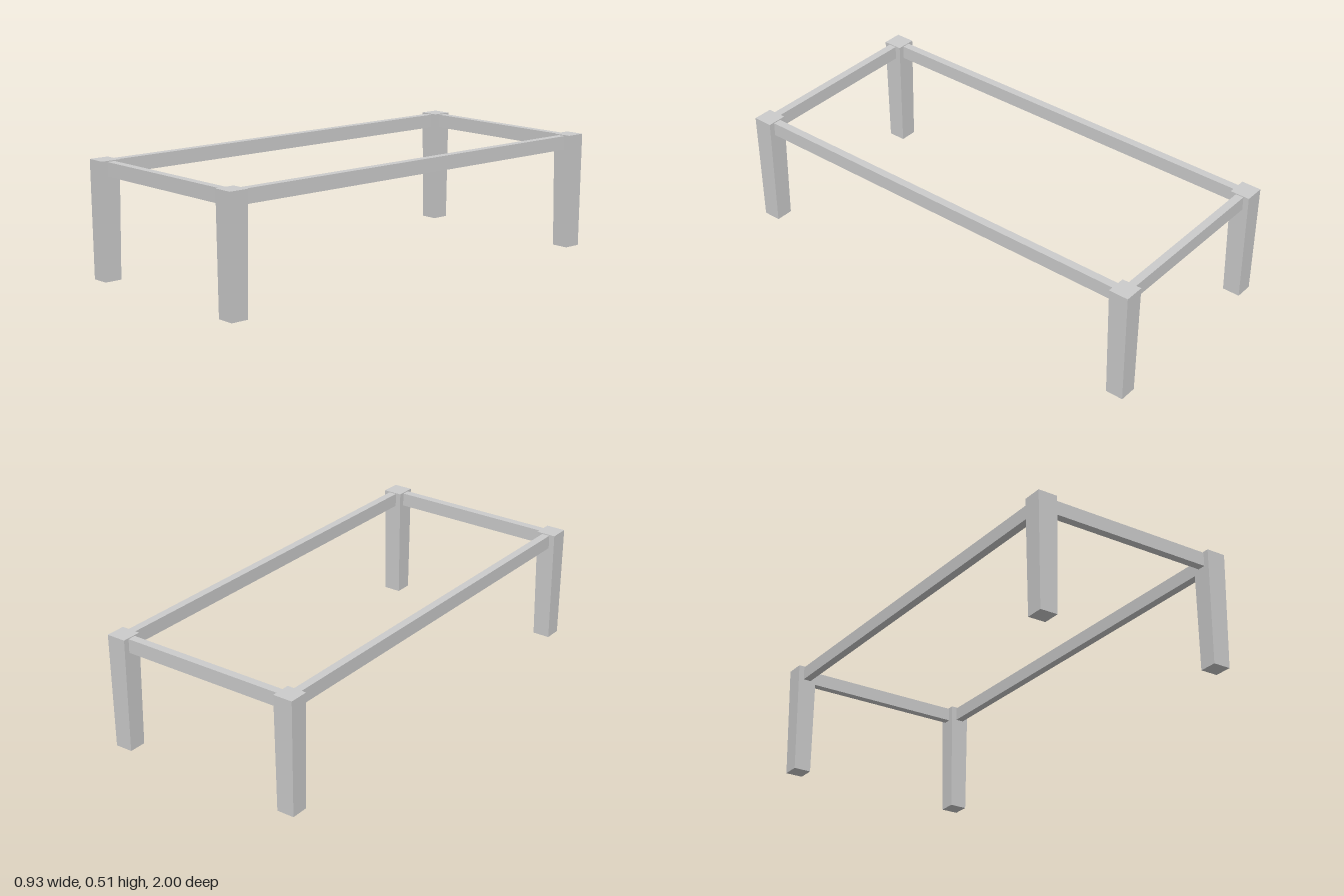
import * as THREE from 'three';

const material = new THREE.MeshStandardMaterial({ color: 0xcccccc, flatShading: true });
const LEG = { x: 0.422, z: 0.956, top: 0.088, bottom: 0.079, height: 0.51 };
const RAIL = { bottom: 0.445, top: 0.506, thickness: 0.036 };

// Square post, slightly narrower at the foot
function makeLeg() {
  const geo = new THREE.BoxGeometry(LEG.top, LEG.height, LEG.top);
  geo.translate(0, LEG.height / 2, 0);
  const p = geo.attributes.position;
  const taper = LEG.bottom / LEG.top;
  for (let i = 0; i < p.count; i++) {
    if (p.getY(i) < 0.01) p.setXYZ(i, p.getX(i) * taper, 0, p.getZ(i) * taper);
  }
  geo.computeVertexNormals();
  return geo;
}

export function createModel() {
  const group = new THREE.Group();
  group.name = 'tableFrame';

  const add = (name, geo, x, y, z) => {
    const mesh = new THREE.Mesh(geo, material);
    mesh.name = name;
    mesh.position.set(x, y, z);
    group.add(mesh);
  };

  // Four corner legs
  const legGeo = makeLeg();
  for (const sx of [-1, 1]) {
    for (const sz of [-1, 1]) {
      add(`${sz > 0 ? 'front' : 'back'}${sx > 0 ? 'Left' : 'Right'}Leg`, legGeo, sx * LEG.x, 0, sz * LEG.z);
    }
  }

  // Rails between the legs, let slightly into them
  const h = RAIL.top - RAIL.bottom;
  const y = (RAIL.top + RAIL.bottom) / 2;
  const inset = LEG.top / 2 - 0.002;
  const endGeo = new THREE.BoxGeometry(2 * (LEG.x - inset), h, RAIL.thickness);
  const sideGeo = new THREE.BoxGeometry(RAIL.thickness, h, 2 * (LEG.z - inset));
  for (const s of [-1, 1]) {
    add(s > 0 ? 'frontRail' : 'backRail', endGeo, 0, y, s * LEG.z);
    add(s > 0 ? 'leftRail' : 'rightRail', sideGeo, s * LEG.x, y, 0);
  }
  return group;
}
